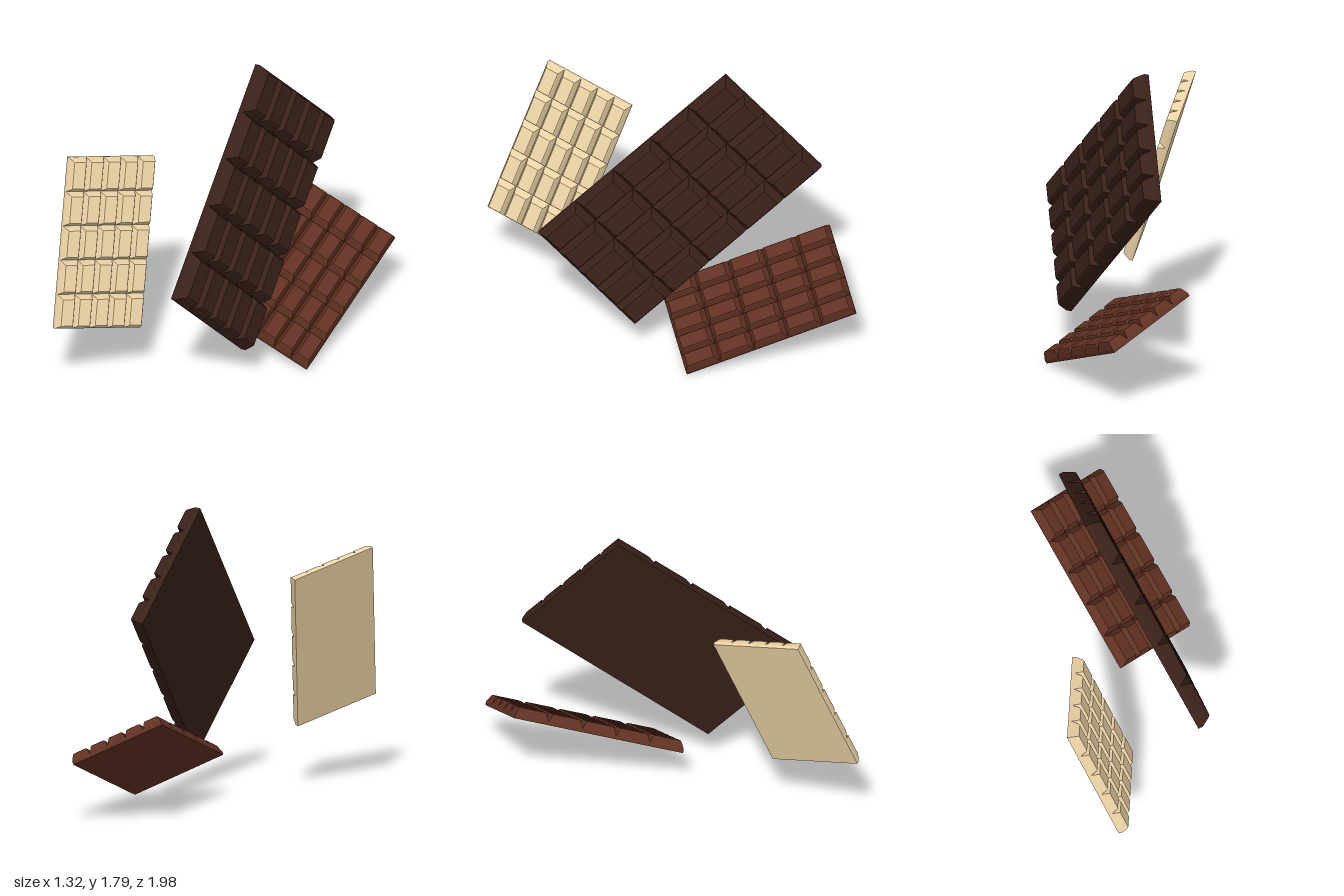
import * as THREE from 'three';
import { mergeGeometries } from 'three/addons/utils/BufferGeometryUtils.js';

const WIDTH = 0.82, LENGTH = 1.48, BASE = 0.03;
const ROWS = 5, COLS = 5;
// Height above the base and inset on each axis, from the groove floor to the top
const STEPS = [[0, 0, 0], [0.056, 0.019, 0.026], [0.065, 0.026, 0.034]];

// One tapered square with a small bevel round its top
function squareGeometry(w, l) {
  const geo = new THREE.BoxGeometry(w, l, 2, 1, 1, 2);
  const p = geo.attributes.position;
  for (let i = 0; i < p.count; i++) {
    const [h, ix, iy] = STEPS[Math.round(p.getZ(i) + 1)];
    p.setXYZ(i, p.getX(i) - Math.sign(p.getX(i)) * ix, p.getY(i) - Math.sign(p.getY(i)) * iy, BASE + h);
  }
  const flat = geo.toNonIndexed();
  flat.computeVertexNormals();
  return flat;
}

// A bar lying in x/y with its back lower-left corner at the origin
function barGeometries() {
  const w = WIDTH / COLS, l = LENGTH / ROWS;
  const base = new THREE.BoxGeometry(WIDTH, LENGTH, BASE).translate(WIDTH / 2, LENGTH / 2, BASE / 2);
  const squares = [];
  for (let r = 0; r < ROWS; r++)
    for (let c = 0; c < COLS; c++)
      squares.push(squareGeometry(w, l).translate((c + 0.5) * w, (r + 0.5) * l, 0));
  return { base, squares: mergeGeometries(squares) };
}

export function createModel() {
  const model = new THREE.Group();
  const { base, squares } = barGeometries();

  // Corner of the back face, then the directions across and along the bar
  const bars = [
    ['darkBar', 0x3a2119, [0.13, 0.81, 0.8], [0.18, -0.6, -0.53], [-0.035, 0.98, -1.11]],
    ['milkBar', 0x623223, [0.08, 0.265, 0.07], [0.52, -0.255, -0.07], [0.05, 0.355, -0.99]],
    ['whiteBar', 0xf0d6a8, [-0.555, 0.5, 0.975], [0.34, -0.138, -0.44], [-0.105, 0.94, -0.375]],
  ];
  for (const [name, color, corner, across, along] of bars) {
    const b = new THREE.Vector3(...along);
    const scale = b.length() / LENGTH;
    b.normalize();
    const n = new THREE.Vector3(...across).cross(b).normalize();
    const a = b.clone().cross(n);

    const bar = new THREE.Group();
    bar.name = name;
    bar.position.set(...corner);
    bar.quaternion.setFromRotationMatrix(new THREE.Matrix4().makeBasis(a, b, n));
    bar.scale.setScalar(scale);

    const material = new THREE.MeshStandardMaterial({ color, flatShading: true });
    const slab = new THREE.Mesh(base, material);
    slab.name = 'baseSlab';
    const pieces = new THREE.Mesh(squares, material);
    pieces.name = 'squares';
    bar.add(slab, pieces);
    model.add(bar);
  }
  return model;
}
